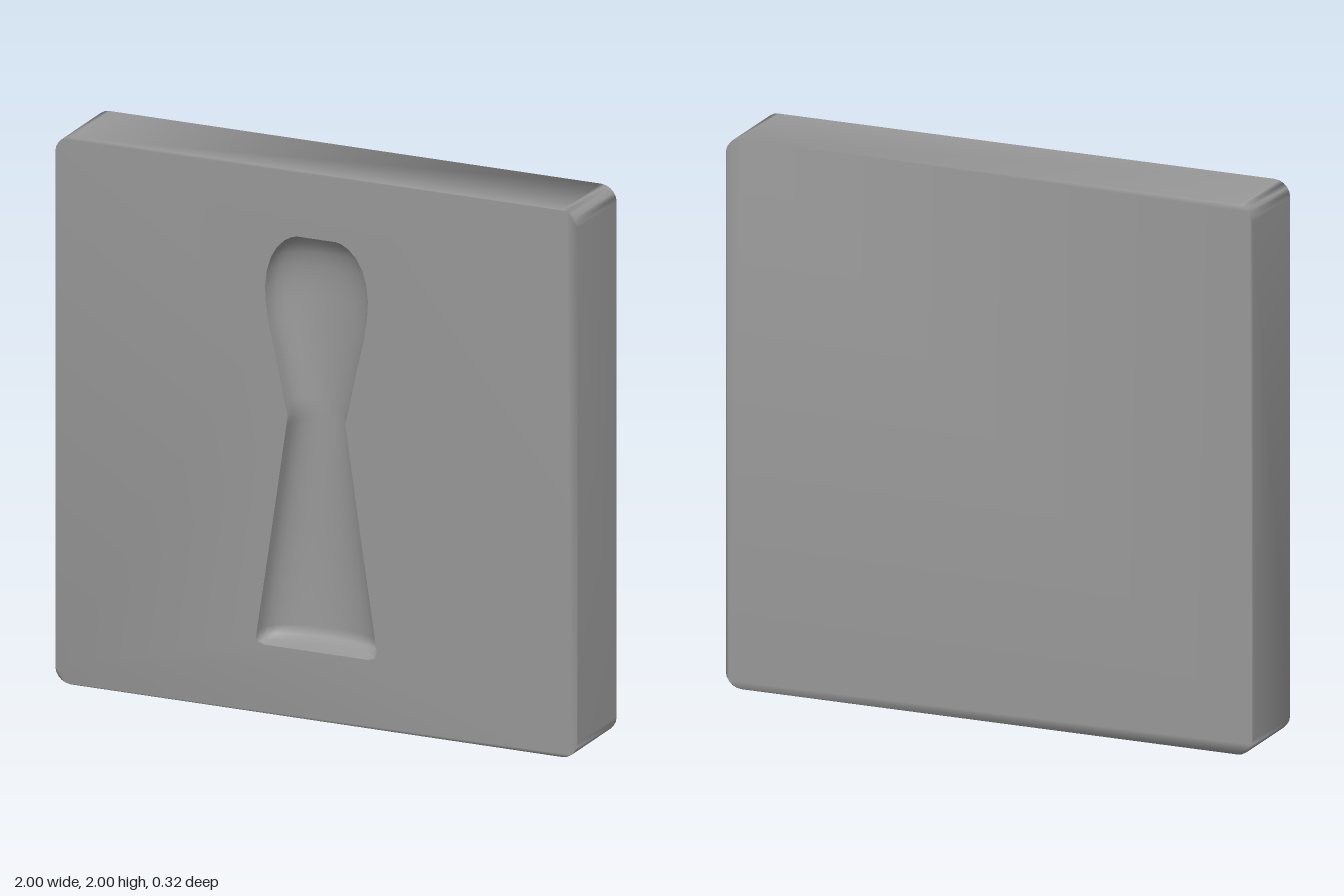
import * as THREE from 'three';
import { mergeGeometries, mergeVertices } from 'three/addons/utils/BufferGeometryUtils.js';

const HALF = 0.16; // half the slab thickness

// Keyhole recess rows from bottom to top: height, half width, depth
const ROWS = [
  [0.25, 0.2, 0], [0.257, 0.222, 0.06], [0.27, 0.232, 0.11], [0.3, 0.228, 0.13],
  [0.7, 0.168, 0.13], [1.06, 0.116, 0.13], [1.1, 0.11, 0.13], [1.14, 0.12, 0.13],
  [1.3, 0.154, 0.13], [1.42, 0.182, 0.13], [1.5, 0.194, 0.13], [1.56, 0.197, 0.13],
  [1.62, 0.19, 0.125], [1.67, 0.175, 0.115], [1.71, 0.152, 0.095],
  [1.74, 0.122, 0.065], [1.755, 0.095, 0.035], [1.76, 0.075, 0],
];

function indexed(positions, index) {
  const g = new THREE.BufferGeometry();
  g.setAttribute('position', new THREE.Float32BufferAttribute(positions, 3));
  g.setIndex(index);
  return g;
}

// Square outline with rounded corners, counter-clockwise
function slabOutline(radius = 0.06, segments = 5) {
  const pts = [];
  for (let corner = 0; corner < 4; corner++) {
    const mid = (corner + 0.5) * Math.PI / 2;
    const cx = Math.sign(Math.cos(mid)) * (1 - radius);
    const cy = 1 + Math.sign(Math.sin(mid)) * (1 - radius);
    for (let s = 0; s <= segments; s++) {
      const a = (corner + s / segments) * Math.PI / 2;
      pts.push(new THREE.Vector2(cx + radius * Math.cos(a), cy + radius * Math.sin(a)));
    }
  }
  return pts;
}

// Slab with an opening in the front, smooth normals all around
function slabGeometry() {
  const outline = slabOutline();
  const front = new THREE.Shape(outline);
  front.holes.push(new THREE.Path([
    ...ROWS.map(([y, w]) => new THREE.Vector2(w, y)),
    ...ROWS.map(([y, w]) => new THREE.Vector2(-w, y)).reverse(),
  ]));
  const frontFace = new THREE.ShapeGeometry(front).translate(0, 0, HALF);
  const backFace = new THREE.ShapeGeometry(new THREE.Shape(outline)).rotateY(Math.PI).translate(0, 0, -HALF);

  const positions = [], index = [], n = outline.length;
  outline.forEach((p, i) => {
    positions.push(p.x, p.y, -HALF, p.x, p.y, HALF);
    const a = i * 2, b = ((i + 1) % n) * 2;
    index.push(a, b, b + 1, a, b + 1, a + 1);
  });
  const parts = [frontFace, backFace, indexed(positions, index)];
  for (const g of parts) {
    g.deleteAttribute('normal');
    g.deleteAttribute('uv');
  }
  const geometry = mergeVertices(mergeGeometries(parts), 1e-4);
  geometry.computeVertexNormals();
  return geometry;
}

// Hollow trough lofted through the rows
function recessGeometry(columns = 16) {
  const positions = [], index = [];
  ROWS.forEach(([y, w, depth], j) => {
    for (let i = 0; i <= columns; i++) {
      const t = (i / columns - 0.5) * Math.PI;
      const drop = depth * Math.pow(Math.max(0, Math.cos(t)), 0.8);
      positions.push(w * Math.sin(t), y, HALF - drop);
      if (j < ROWS.length - 1 && i < columns) {
        const a = j * (columns + 1) + i, d = a + columns + 1;
        index.push(a, a + 1, d + 1, a, d + 1, d);
      }
    }
  });
  const geometry = indexed(positions, index);
  geometry.computeVertexNormals();
  return geometry;
}

export function createModel() {
  const grey = new THREE.MeshStandardMaterial({ color: 0x999999 });
  grey.name = 'grey';

  const model = new THREE.Group();
  model.name = 'keyholePlate';
  const add = (name, geometry) => {
    const mesh = new THREE.Mesh(geometry, grey);
    mesh.name = name;
    model.add(mesh);
  };
  add('slab', slabGeometry());
  add('keyholeRecess', recessGeometry());
  return model;
}
